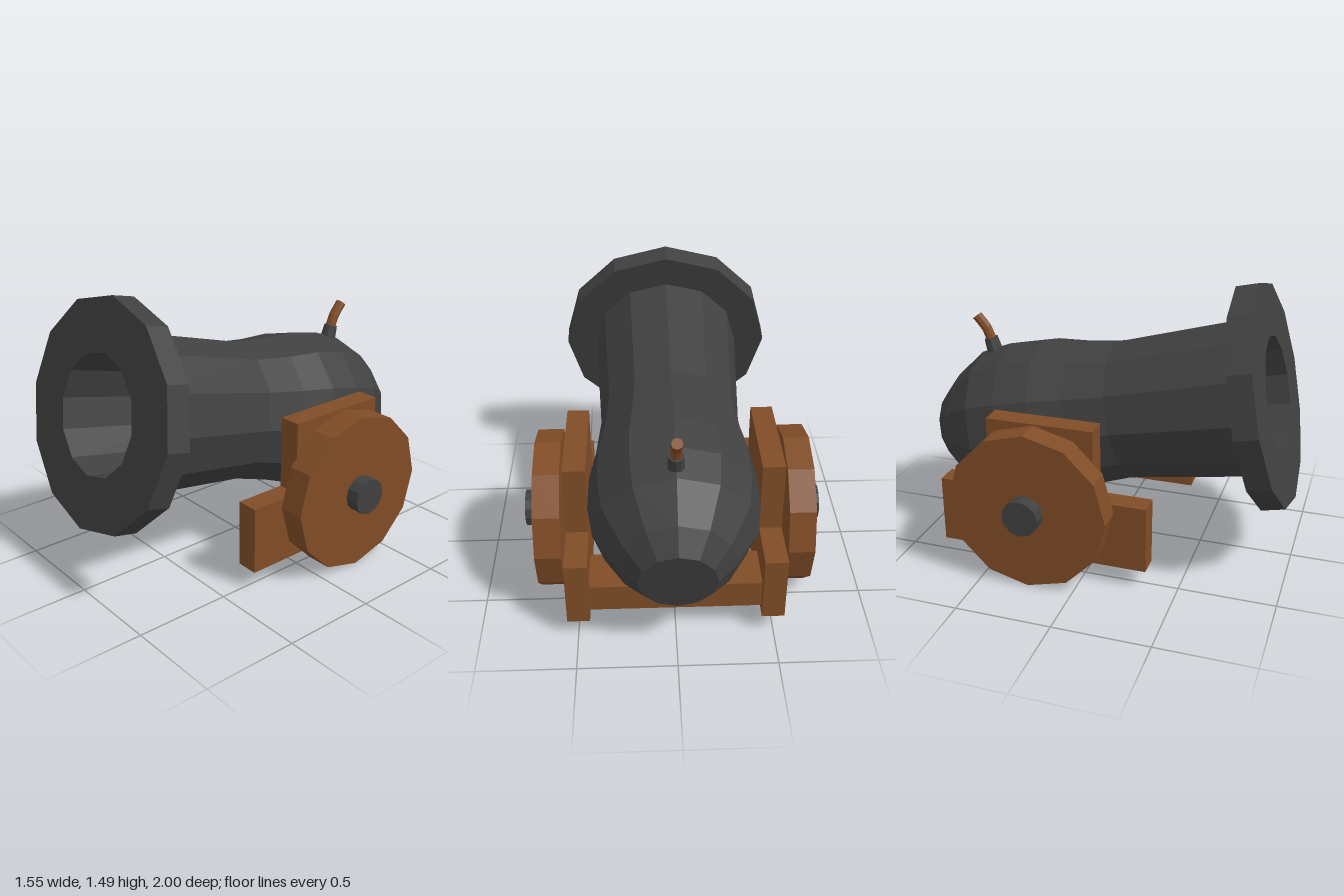
import * as THREE from 'three';

export function createModel() {
  const iron = new THREE.MeshStandardMaterial({ color: 0x404040, flatShading: true });
  iron.name = 'dark iron';
  const wood = new THREE.MeshStandardMaterial({ color: 0x804c26, flatShading: true });
  wood.name = 'brown wood';

  const model = new THREE.Group();
  model.name = 'cannon';
  const add = (name, geometry, material, x = 0, y = 0, z = 0) => {
    const mesh = new THREE.Mesh(geometry, material);
    mesh.name = name;
    mesh.position.set(x, y, z);
    model.add(mesh);
    return mesh;
  };

  // Barrel: one turned profile [radius, distance from muzzle], including the bore
  const profile = [
    [0, -1.876], [0.193, -1.876], [0.294, -1.773], [0.41, -1.586], [0.437, -1.411],
    [0.433, -1.217], [0.398, -1.03], [0.374, -0.81], [0.411, -0.123],
    [0.582, -0.123], [0.582, 0], [0.306, 0], [0.28, -0.79], [0, -0.79],
  ].map(([r, s]) => new THREE.Vector2(r, s));
  const barrel = add('barrel', new THREE.LatheGeometry(profile, 12), iron, 0, 0.9225, 0.8725);
  barrel.rotation.x = Math.PI / 2 - 0.221;

  // Fuse socket and bent fuse with a capped end
  const socket = add('fuseSocket', new THREE.CylinderGeometry(0.037, 0.045, 0.1, 10), iron, 0, 1.015, -0.699);
  socket.rotation.x = -0.29;
  const path = new THREE.CatmullRomCurve3([
    new THREE.Vector3(0, 1.04, -0.706),
    new THREE.Vector3(0, 1.115, -0.735),
    new THREE.Vector3(0, 1.182, -0.79),
  ]);
  add('fuse', new THREE.TubeGeometry(path, 4, 0.028, 8), wood);
  const end = path.getPoint(1);
  const cap = add('fuseEnd', new THREE.CircleGeometry(0.028, 8), wood, end.x, end.y, end.z);
  cap.quaternion.setFromUnitVectors(new THREE.Vector3(0, 0, 1), path.getTangent(1));

  // Stepped cheek outline: shape x becomes -z after turning
  const outline = new THREE.Shape([
    [-0.34, 0.1], [0.775, 0.1], [0.775, 0.455], [0.5, 0.455],
    [0.5, 0.835], [-0.065, 0.835], [-0.065, 0.455], [-0.34, 0.455],
  ].map(([x, y]) => new THREE.Vector2(x, y)));
  const cheek = new THREE.ExtrudeGeometry(outline, { depth: 0.116, bevelEnabled: false });
  cheek.translate(0, 0, -0.058).rotateY(Math.PI / 2);
  const wheel = new THREE.CylinderGeometry(0.418, 0.418, 0.134, 12).rotateZ(Math.PI / 2);
  const axle = new THREE.CylinderGeometry(0.095, 0.095, 0.24, 12).rotateZ(Math.PI / 2);

  // Cheeks, wheels and axle stubs on both sides
  for (const [side, name] of [[1, 'left'], [-1, 'right']]) {
    add(name + 'Cheek', cheek, wood, side * 0.495, 0, 0);
    add(name + 'Wheel', wheel, wood, side * 0.638, 0.419, -0.24);
    add(name + 'Axle', axle, iron, side * 0.657, 0.422, -0.24);
  }

  // Beam joining the cheeks at the rear
  add('crossBeam', new THREE.BoxGeometry(0.88, 0.15, 0.25), wood, 0, 0.21, -0.605);

  return model;
}
